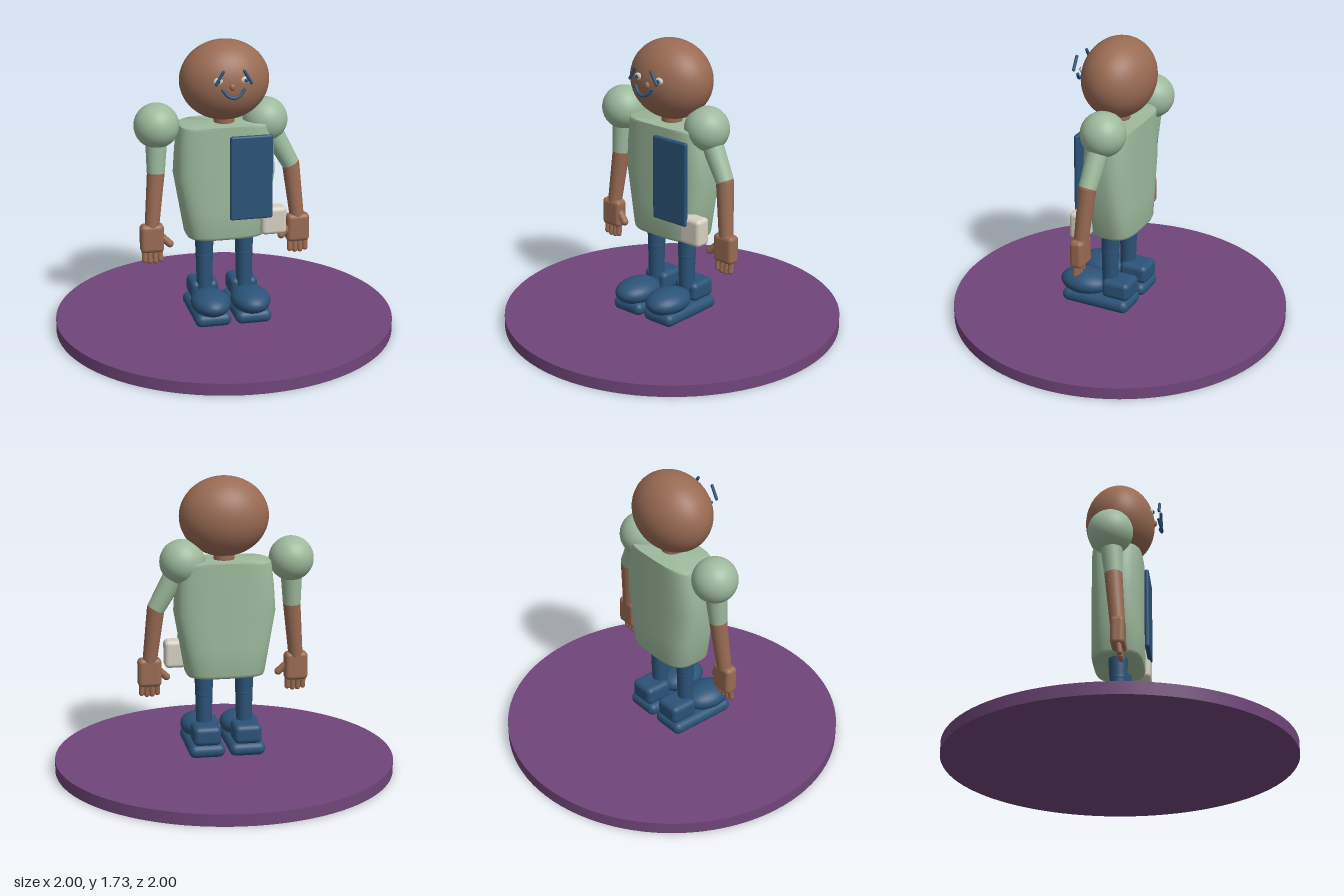
import * as THREE from 'three';
import { mergeVertices, toCreasedNormals } from 'three/addons/utils/BufferGeometryUtils.js';
import { RoundedBoxGeometry } from 'three/addons/geometries/RoundedBoxGeometry.js';

const mat = (name, color) => new THREE.MeshStandardMaterial({ name, color });
const V = (x, y, z) => new THREE.Vector3(x, y, z);

export function createModel() {
  const skin = mat('skin', 0x996b53);
  const sage = mat('sage', 0x9dba9d);
  const navy = mat('navy', 0x2b5378);
  const purple = mat('purple', 0x70467a);
  const cream = mat('cream', 0xd6d0c2);
  const model = new THREE.Group();
  model.name = 'figure';

  const add = (name, geo, material, x = 0, y = 0, z = 0, parent = model) => {
    const mesh = new THREE.Mesh(geo, material);
    mesh.name = name;
    mesh.position.set(x, y, z);
    parent.add(mesh);
    return mesh;
  };
  const ball = (name, m, c, rx, ry = rx, rz = rx, parent = model) => {
    const mesh = add(name, new THREE.SphereGeometry(1, 40, 28), m, c.x, c.y, c.z, parent);
    mesh.scale.set(rx, ry, rz);
    return mesh;
  };
  const box = (name, m, w, h, d, r, x, y, z, parent = model) =>
    add(name, new RoundedBoxGeometry(w, h, d, 4, r), m, x, y, z, parent);
  // Tapered limb or round-ended rod between two points
  const between = (mesh, a, b) => {
    mesh.position.copy(a).lerp(b, 0.5);
    mesh.quaternion.setFromUnitVectors(V(0, 1, 0), b.clone().sub(a).normalize());
    return mesh;
  };
  const limb = (name, m, a, b, ra, rb, parent = model) =>
    between(add(name, new THREE.CylinderGeometry(rb, ra, a.distanceTo(b), 28), m, 0, 0, 0, parent), a, b);
  const rod = (name, m, a, b, r, parent = model) =>
    between(add(name, new THREE.CapsuleGeometry(r, a.distanceTo(b), 6, 16), m, 0, 0, 0, parent), a, b);

  // Round base
  add('base', new THREE.CylinderGeometry(1, 1, 0.07, 96), purple, 0, 0.035, 0);

  // Torso: a lathe profile squared off into rounded-rectangle sections
  const profile = [[0, 0.57], [0.21, 0.57], [0.225, 0.575], [0.232, 0.59], [0.26, 0.75], [0.295, 0.95],
    [0.285, 1.1], [0.27, 1.23], [0.265, 1.245], [0.25, 1.25], [0, 1.25]];
  let torso = new THREE.LatheGeometry(profile.map(([r, y]) => new THREE.Vector2(r, y)), 64);
  const pos = torso.attributes.position;
  for (let i = 0; i < pos.count; i++) {
    const x = pos.getX(i), z = pos.getZ(i), r = Math.hypot(x, z);
    if (r < 1e-6) continue;
    const square = (v) => Math.sign(v) * Math.abs(v / r) ** 0.6;
    const depth = 0.148 * Math.min(1, r / 0.232);
    pos.setX(i, r * square(x));
    pos.setZ(i, depth * square(z) - 0.007);
  }
  torso.deleteAttribute('uv');
  torso.deleteAttribute('normal');
  torso = toCreasedNormals(mergeVertices(torso, 1e-5), 0.9);
  add('torso', torso, sage);

  // Chest panel and hip pouch
  box('chestPanel', navy, 0.25, 0.5, 0.028, 0.012, 0.125, 0.95, 0.157);
  box('pouch', cream, 0.15, 0.165, 0.1, 0.025, 0.265, 0.672, 0.11);

  // Neck and head
  add('neck', new THREE.CylinderGeometry(0.06, 0.06, 0.14, 28), skin, 0, 1.27, 0);
  ball('head', skin, V(0, 1.5, 0.003), 0.26, 0.232, 0.206);

  // Face
  const face = new THREE.Group();
  face.name = 'face';
  model.add(face);
  ball('nose', skin, V(0, 1.502, 0.208), 0.016, 0.02, 0.016, face);
  for (const s of [-1, 1]) {
    ball('eye', cream, V(s * 0.078, 1.537, 0.196), 0.027, 0.021, 0.012, face);
    ball('pupil', navy, V(s * 0.08, 1.537, 0.208), 0.011, 0.011, 0.006, face);
    rod('eyebrow', navy, V(s * 0.1, 1.532, 0.243), V(s * 0.06, 1.6, 0.243), 0.009, face);
  }
  const smile = new THREE.CatmullRomCurve3([V(-0.062, 1.495, 0.237), V(-0.035, 1.463, 0.247),
    V(0, 1.45, 0.252), V(0.035, 1.463, 0.247), V(0.062, 1.495, 0.237)]);
  add('mouth', new THREE.TubeGeometry(smile, 32, 0.009, 12), navy, 0, 0, 0, face);
  for (const t of [0, 1]) ball('mouthEnd', navy, smile.getPoint(t), 0.009, 0.009, 0.009, face);

  // Arms: the two shoulders sit at different distances from the torso
  for (const [side, s, shoulderX, elbowX] of [['left', 1, 0.247, 0.4], ['right', -1, 0.392, 0.403]]) {
    const arm = new THREE.Group();
    arm.name = side + 'Arm';
    model.add(arm);
    const shoulder = V(s * shoulderX, 1.245, -0.018);
    const elbow = V(s * elbowX, 0.97, 0.002);
    const wrist = V(s * 0.435, 0.65, 0.028);
    ball('shoulder', sage, shoulder, 0.131, 0.131, 0.131, arm);
    limb('sleeve', sage, shoulder, elbow, 0.068, 0.052, arm);
    ball('elbow', skin, elbow, 0.051, 0.051, 0.051, arm);
    limb('forearm', skin, elbow, wrist, 0.051, 0.042, arm);
    // Hand with four fingers and a thumb pointing inwards
    box('palm', skin, 0.138, 0.17, 0.08, 0.026, s * 0.437, 0.585, 0.032, arm);
    for (let i = 0; i < 4; i++) {
      const x = s * (0.39 + i * 0.031), tip = i === 0 || i === 3 ? 0.455 : 0.447;
      rod('finger', skin, V(x, 0.53, 0.036), V(x, tip, 0.044), 0.0165, arm);
    }
    rod('thumb', skin, V(s * 0.385, 0.595, 0.04), V(s * 0.335, 0.547, 0.05), 0.022, arm);
  }

  // Legs and shoes
  for (const [side, s] of [['left', 1], ['right', -1]]) {
    const leg = new THREE.Group();
    leg.name = side + 'Leg';
    leg.position.x = s * 0.12;
    model.add(leg);
    limb('thigh', navy, V(0, 0.62, 0), V(0, 0.45, 0.003), 0.058, 0.051, leg);
    ball('knee', navy, V(0, 0.45, 0.003), 0.052, 0.052, 0.052, leg);
    limb('shin', navy, V(0, 0.45, 0.003), V(0, 0.2, 0.005), 0.051, 0.045, leg);
    box('sole', navy, 0.215, 0.08, 0.43, 0.038, 0, 0.13, 0.067, leg);
    box('heel', navy, 0.165, 0.115, 0.175, 0.032, 0, 0.222, -0.06, leg);
    ball('toe', navy, V(0, 0.208, 0.17), 0.115, 0.073, 0.153, leg);
  }
  return model;
}
